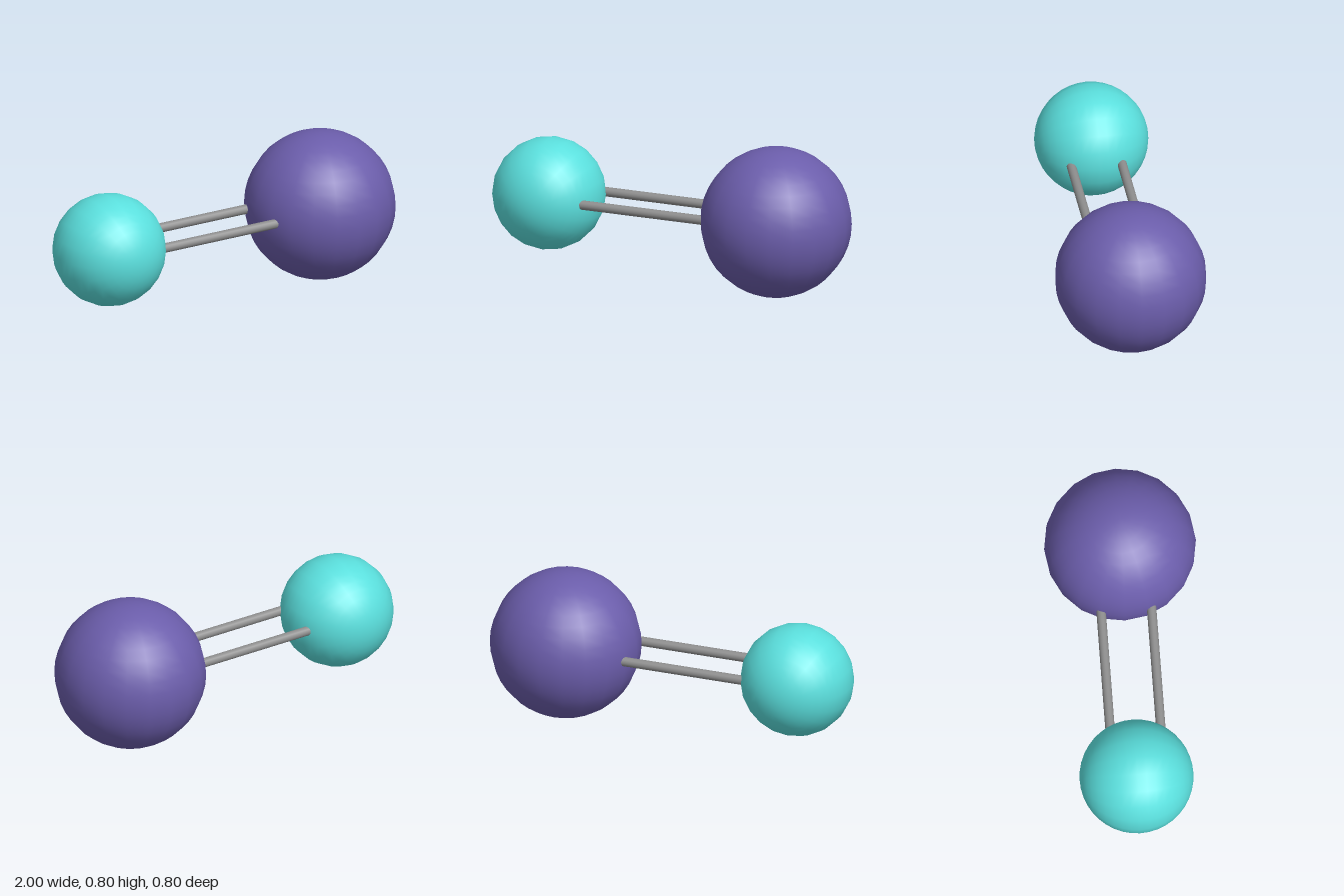
import * as THREE from 'three';

function ball(name, radius, x, color, axisTilt) {
  const mesh = new THREE.Mesh(
    new THREE.SphereGeometry(radius, 20, 20),
    new THREE.MeshStandardMaterial({ color })
  );
  mesh.name = name;
  mesh.position.set(x, 0.4, 0);
  mesh.rotation.x = axisTilt;
  return mesh;
}

// Cylinder spanning two points
function rod(name, from, to, radius, material) {
  const dir = to.clone().sub(from);
  const mesh = new THREE.Mesh(new THREE.CylinderGeometry(radius, radius, dir.length(), 16), material);
  mesh.name = name;
  mesh.position.copy(from).add(to).multiplyScalar(0.5);
  mesh.quaternion.setFromUnitVectors(new THREE.Vector3(0, 1, 0), dir.normalize());
  return mesh;
}

export function createModel() {
  const group = new THREE.Group();
  group.name = 'doubleBondMolecule';

  // Two atoms, the small one with its poles along z
  group.add(ball('smallAtom', 0.3, -0.7, 0x5adfdd, Math.PI / 2));
  group.add(ball('largeAtom', 0.4, 0.6, 0x6b5dab, 0));

  // Pair of bonds, very slightly skewed, ending inside the atoms
  const grey = new THREE.MeshStandardMaterial({ color: 0x8e8e8e });
  for (const [name, z0, z1] of [['frontBond', 0.147, 0.14], ['backBond', -0.12, -0.126]]) {
    group.add(rod(name, new THREE.Vector3(-0.7, 0.405, z0), new THREE.Vector3(0.6, 0.405, z1), 0.025, grey));
  }
  return group;
}
